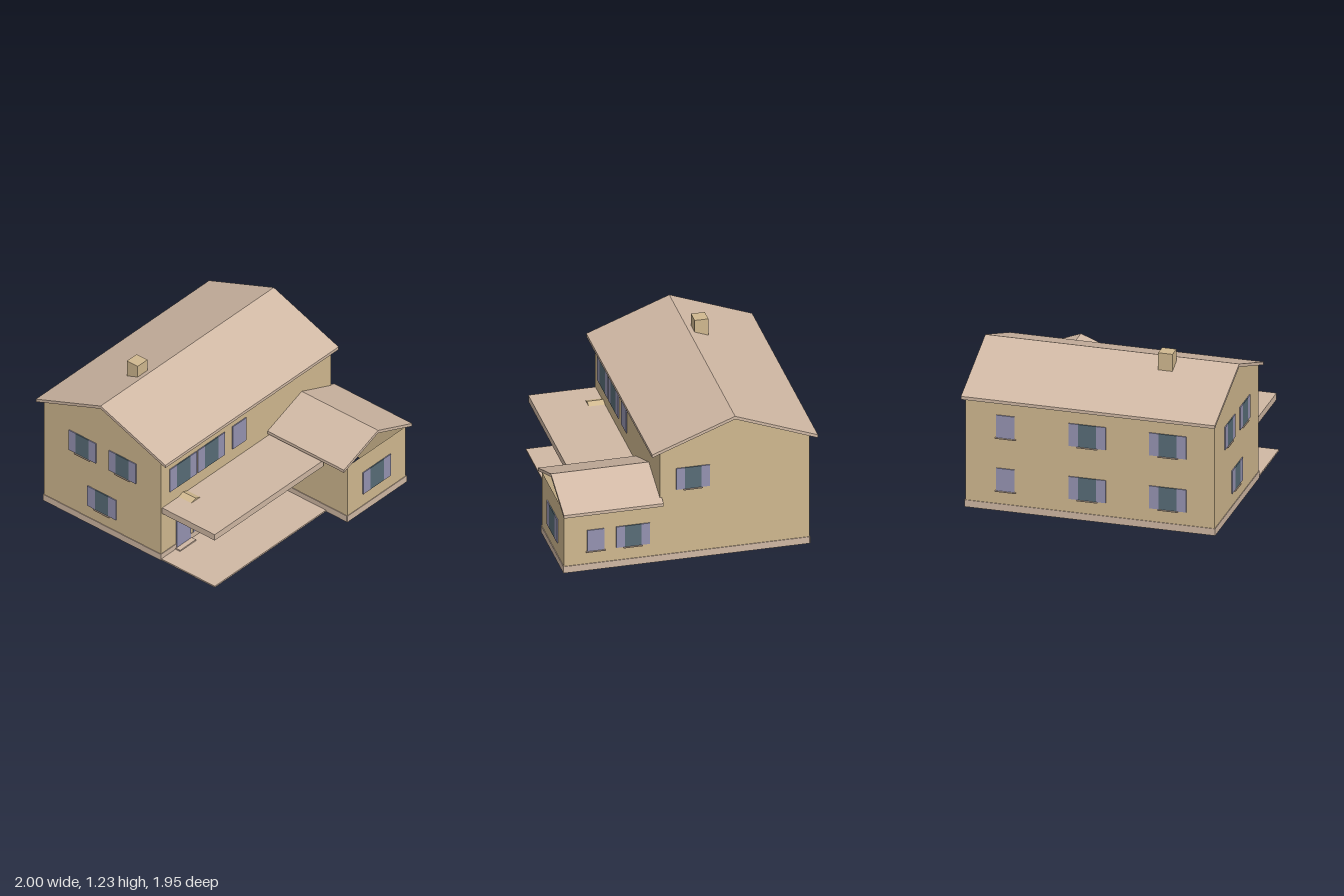
import * as THREE from 'three';

const mat = (name, color, side = THREE.FrontSide) => {
  const m = new THREE.MeshStandardMaterial({ color, side });
  m.name = name;
  return m;
};

export function createModel() {
  const house = new THREE.Group();
  house.name = 'house';
  const wallMat = mat('tan wall', 0xd0b88f, THREE.DoubleSide);
  const roofMat = mat('pinkish roof', 0xd0b8a4);
  const shutterMat = mat('lavender shutter', 0x9593b1);
  const glassMat = mat('slate glass', 0x586c77);

  const add = (parent, name, geometry, material) => {
    const mesh = new THREE.Mesh(geometry, material);
    mesh.name = name;
    parent.add(mesh);
    return mesh;
  };
  // Box given by its lower and upper corners
  const box = (parent, name, material, a, b) => {
    const mesh = add(parent, name, new THREE.BoxGeometry(b[0] - a[0], b[1] - a[1], b[2] - a[2]), material);
    mesh.position.set((a[0] + b[0]) / 2, (a[1] + b[1]) / 2, (a[2] + b[2]) / 2);
    return mesh;
  };
  const shape = (pts) => new THREE.Shape(pts.map(([x, y]) => new THREE.Vector2(x, y)));

  // A facade has its own frame: x along the wall, z pointing outwards
  const facade = (name, x, z, turn) => {
    const g = new THREE.Group();
    g.name = name;
    g.position.set(x, 0, z);
    g.rotation.y = turn;
    house.add(g);
    return g;
  };
  const front = facade('frontFacade', 0, 0.23, 0);
  const back = facade('backFacade', 0, -0.91, Math.PI);
  const right = facade('eastFacade', 0.94, 0, Math.PI / 2);
  const left = facade('westFacade', -0.98, 0, -Math.PI / 2);
  const wingFront = facade('wingFrontFacade', 0, 0.96, 0);
  const wingInner = facade('wingInnerFacade', 0.28, 0, -Math.PI / 2);

  // Thin walls, open underneath
  const wall = (f, pts) => add(f, 'wall', new THREE.ShapeGeometry(shape(pts)), wallMat);
  const rect = (x0, x1, h) => [[x0, 0], [x1, 0], [x1, h], [x0, h]];
  wall(front, rect(-0.98, 0.94, 0.905));
  wall(back, rect(-0.94, 0.98, 0.905));
  wall(right, [[-0.23, 0], [0.91, 0], [0.91, 0.905], [0.34, 1.122], [-0.23, 0.905]]);
  wall(left, [[-0.91, 0], [0.23, 0], [0.23, 0.905], [-0.34, 1.122], [-0.91, 0.905]]);
  wall(wingFront, rect(0.28, 0.94, 0.505));
  wall(right, rect(-0.96, -0.23, 0.505));
  wall(wingInner, rect(0.23, 0.96, 0.505));

  // Plinth strips
  const plinth = (f, x0, x1) => box(f, 'plinth', roofMat, [x0, 0, 0.001], [x1, 0.055, 0.006]);
  plinth(front, -0.986, 0.28);
  plinth(back, -0.946, 0.986);
  plinth(right, -0.966, 0.91);
  plinth(left, -0.91, 0.236);
  plinth(wingFront, 0.274, 0.946);
  plinth(wingInner, 0.23, 0.96);

  // Bent roof slab: half span s, ridge height, drop to the eaves, length
  const roof = (name, s, ridge, drop, length, t = 0.025) => {
    const pts = [[-s, ridge - drop], [-s, ridge - drop - t], [0, ridge - t], [s, ridge - drop - t], [s, ridge - drop], [0, ridge]];
    return add(house, name, new THREE.ExtrudeGeometry(shape(pts), { depth: length, bevelEnabled: false }), roofMat);
  };
  const mainRoof = roof('mainRoof', 0.632, 1.146, 0.24, 1.955);
  mainRoof.rotation.y = Math.PI / 2;
  mainRoof.position.set(-1, 0, -0.34);
  // Wing roof, with its gable left open
  roof('wingRoof', 0.385, 0.66, 0.15, 0.76).position.set(0.61, 0, 0.215);

  // Chimney
  box(house, 'chimney', wallMat, [-0.53, 1.02, -0.49], [-0.42, 1.226, -0.385]);

  // Porch floor, flat roof, door step and small gabled canopy
  box(house, 'porchFloor', roofMat, [-0.98, 0, 0.231], [0.279, 0.012, 0.757]);
  box(house, 'porchRoof', roofMat, [-0.965, 0.415, 0.231], [0.265, 0.468, 0.743]);
  box(house, 'doorStep', roofMat, [-0.82, 0.012, 0.231], [-0.64, 0.022, 0.28]);
  const canopy = add(house, 'doorCanopy', new THREE.ExtrudeGeometry(
    shape([[-0.05, 0.43], [0.05, 0.43], [0.05, 0.468], [0, 0.486], [-0.05, 0.468]]),
    { depth: 0.124, bevelEnabled: false }), wallMat);
  canopy.position.set(-0.73, 0, 0.231);

  // Painted plates and sills
  const plate = (f, name, m, x0, x1, y0, y1) => box(f, name, m, [x0, y0, 0.001], [x1, y1, 0.009]);
  const sill = (f, x0, x1, y) => box(f, 'windowSill', roofMat, [x0 - 0.01, y - 0.008, 0.001], [x1 + 0.01, y, 0.016]);
  // Glass (half width g) between two shutters (outer half width w)
  const shuttered = (f, cx, y0, y1, w, g, withSill) => {
    plate(f, 'glass', glassMat, cx - g, cx + g, y0, y1);
    for (const s of [-1, 1]) {
      plate(f, 'shutter', shutterMat, cx + Math.min(s * g, s * w), cx + Math.max(s * g, s * w), y0, y1);
    }
    if (withSill) sill(f, cx - g, cx + g, y0);
  };
  const closed = (f, cx, y0, y1, w, withSill) => {
    plate(f, 'closedShutter', shutterMat, cx - w, cx + w, y0, y1);
    if (withSill) sill(f, cx - w, cx + w, y0);
  };

  // Front: upper row, door and large patio windows
  shuttered(front, -0.733, 0.57, 0.775, 0.152, 0.075);
  shuttered(front, -0.417, 0.57, 0.775, 0.152, 0.075);
  closed(front, -0.1, 0.57, 0.775, 0.075);
  plate(front, 'frontDoor', shutterMat, -0.81, -0.65, 0.022, 0.37);
  for (const [x0, x1] of [[-0.62, -0.515], [-0.31, -0.2], [0, 0.105]]) {
    plate(front, 'patioShutter', shutterMat, x0, x1, 0.057, 0.37);
  }
  for (const [x0, x1] of [[-0.515, -0.31], [-0.2, 0]]) {
    plate(front, 'patioGlass', glassMat, x0, x1, 0.013, 0.37);
  }
  shuttered(wingFront, 0.608, 0.16, 0.355, 0.157, 0.078);

  // East side
  shuttered(right, 0.022, 0.585, 0.762, 0.128, 0.063, true);
  shuttered(right, -0.435, 0.16, 0.335, 0.128, 0.063, true);
  closed(right, -0.72, 0.16, 0.335, 0.064, true);

  // Back: two rows of three
  for (const y of [0.16, 0.585]) {
    closed(back, -0.63, y, y + 0.18, 0.07, true);
    shuttered(back, 0, y, y + 0.18, 0.143, 0.068, true);
    shuttered(back, 0.62, y, y + 0.18, 0.143, 0.068, true);
  }

  // West side
  shuttered(left, -0.53, 0.585, 0.765, 0.132, 0.063, true);
  shuttered(left, -0.14, 0.585, 0.765, 0.132, 0.063, true);
  shuttered(left, -0.34, 0.16, 0.34, 0.14, 0.065, true);

  return house;
}
